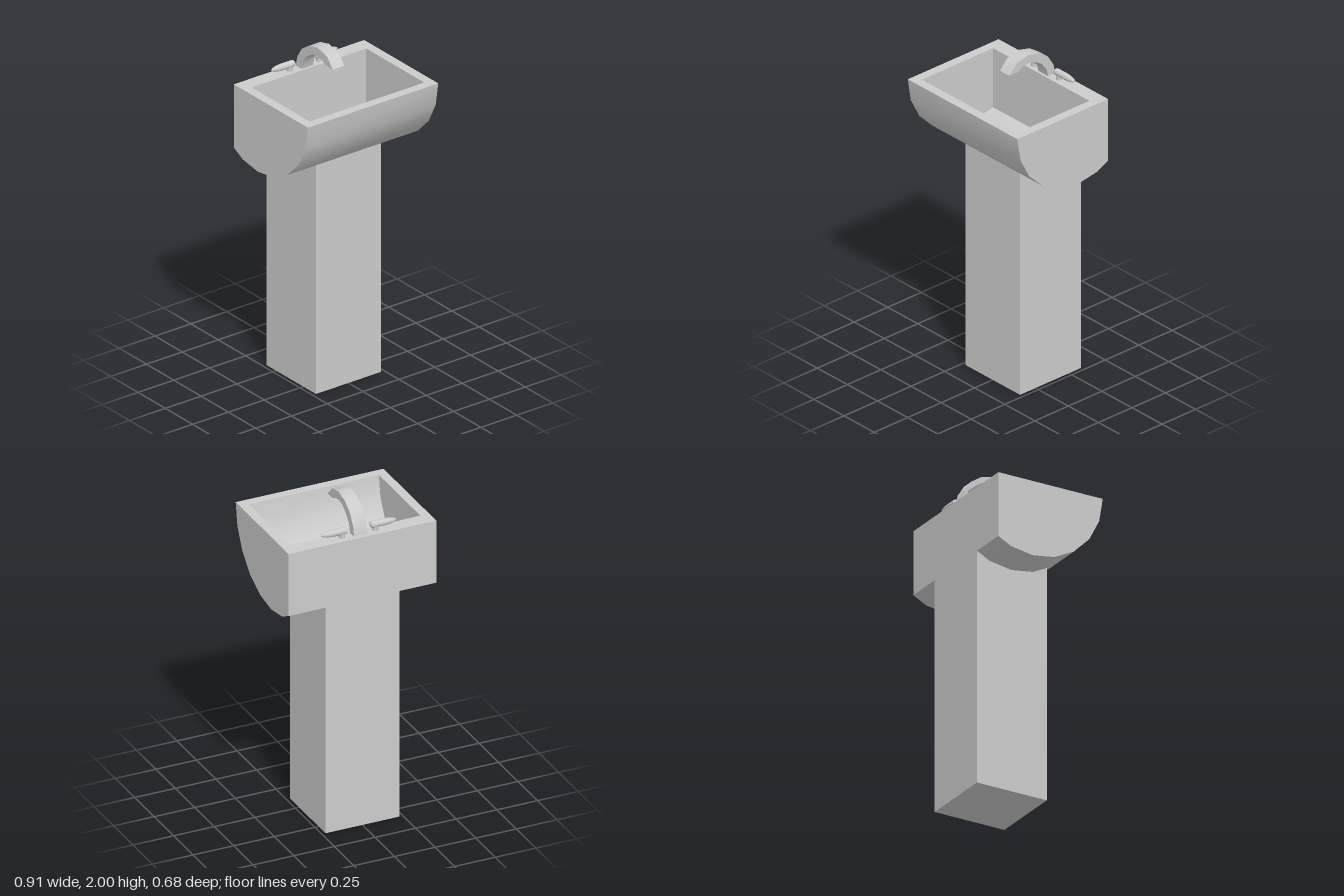
import * as THREE from 'three';
import { mergeGeometries, toCreasedNormals } from 'three/addons/utils/BufferGeometryUtils.js';

const TOP = 1.81, BACK = -0.338, AXIS_Z = -0.115;
const material = new THREE.MeshStandardMaterial({ color: 0xcccccc });

// Bowl section as [z, y]: faceted arc from the front rim, cut off by an upright back wall
function bowlProfile(radius, back) {
  const points = [];
  for (let i = 0; i <= 10; i++) {
    const a = (i * Math.PI) / 10;
    let z = AXIS_Z + radius * Math.cos(a), y = TOP - radius * Math.sin(a);
    if (z < back) {
      const [pz, py] = points[points.length - 1];
      y = py + (y - py) * (pz - back) / (pz - z);
      points.push([back, y], [back, TOP]);
      break;
    }
    points.push([z, y]);
  }
  return points;
}

// Open sheet following a [z, y] profile across the width
function sheet(profile, halfWidth) {
  const geo = new THREE.PlaneGeometry(2 * halfWidth, 1, 1, profile.length - 1);
  profile.forEach(([z, y], row) => {
    geo.attributes.position.setXYZ(row * 2, -halfWidth, y, z);
    geo.attributes.position.setXYZ(row * 2 + 1, halfWidth, y, z);
  });
  return toCreasedNormals(geo, 0.6);
}

// Flat end wall at x, facing along side (+1 or -1)
function endWall(profile, x, side) {
  const shape = new THREE.Shape(profile.map(([z, y]) => new THREE.Vector2(-side * z, y)));
  return new THREE.ShapeGeometry(shape).rotateY(side * Math.PI / 2).translate(x, 0, 0).toNonIndexed();
}

// Solid [z, y] section extruded across the width
function slab(profile, width, crease) {
  const shape = new THREE.Shape(profile.map(([z, y]) => new THREE.Vector2(-z, y)));
  const geo = new THREE.ExtrudeGeometry(shape, { depth: width, bevelEnabled: false });
  geo.translate(0, 0, -width / 2).rotateY(Math.PI / 2);
  return toCreasedNormals(geo, crease);
}

function rectangle(Type, halfWidth, z0, z1) {
  return new Type([[-halfWidth, -z1], [halfWidth, -z1], [halfWidth, -z0], [-halfWidth, -z0]]
    .map(([x, y]) => new THREE.Vector2(x, y)));
}

function addMesh(parent, name, geometry) {
  const mesh = new THREE.Mesh(geometry, material);
  mesh.name = name;
  parent.add(mesh);
  return mesh;
}

export function createModel() {
  const model = new THREE.Group();
  model.name = 'pedestalSink';

  // Basin: outer shell, cavity and flat rim
  const outer = bowlProfile(0.455, BACK), inner = bowlProfile(0.4, -0.247);
  const rim = rectangle(THREE.Shape, 0.455, BACK, 0.34);
  rim.holes.push(rectangle(THREE.Path, 0.4, -0.247, 0.285));
  const pieces = [
    sheet(outer, 0.455),
    sheet([...inner].reverse(), 0.4),
    new THREE.ShapeGeometry(rim).rotateX(-Math.PI / 2).translate(0, TOP, 0).toNonIndexed(),
  ];
  for (const side of [-1, 1]) {
    pieces.push(endWall(outer, side * 0.455, side), endWall(inner, side * 0.4, -side));
  }
  addMesh(model, 'basin', mergeGeometries(pieces));

  // Pedestal, its top scooped to fit the underside of the bowl
  addMesh(model, 'pedestal', slab([
    [0.115, 0], [0.115, 1.425], [0.026, 1.38], [AXIS_Z, 1.36], [-0.256, 1.38], [BACK, 1.42], [BACK, 0],
  ], 0.454, 0.3));

  // Curved spout with a level mouth
  addMesh(model, 'spout', slab([
    [-0.315, TOP], [-0.302, 1.87], [-0.262, 1.935], [-0.196, 1.98], [-0.116, 2], [-0.03, 1.98], [0.025, 1.92],
    [-0.037, 1.92], [-0.075, 1.941], [-0.116, 1.948], [-0.165, 1.94], [-0.215, 1.905], [-0.25, 1.86], [-0.262, TOP],
  ], 0.08, 0.75));

  // Tap handles: tapered lever on a short stem, mirrored left and right
  const lever = [[0, 0], [0.012, 0.002], [0.018, 0.007], [0.02, 0.015], [0.02, 0.095],
    [0.017, 0.125], [0.012, 0.147], [0.006, 0.158], [0, 0.16]].map(([r, h]) => new THREE.Vector2(r, h));
  for (const side of [-1, 1]) {
    const handle = new THREE.Group();
    handle.name = side > 0 ? 'leftHandle' : 'rightHandle';
    handle.position.set(side * 0.07, TOP, -0.288);
    addMesh(handle, 'stem', new THREE.CylinderGeometry(0.018, 0.018, 0.04, 20)).position.set(side * 0.033, 0.02, 0);
    addMesh(handle, 'lever', new THREE.LatheGeometry(lever, 20).rotateZ(-side * Math.PI / 2)).position.y = 0.038;
    model.add(handle);
  }
  return model;
}
